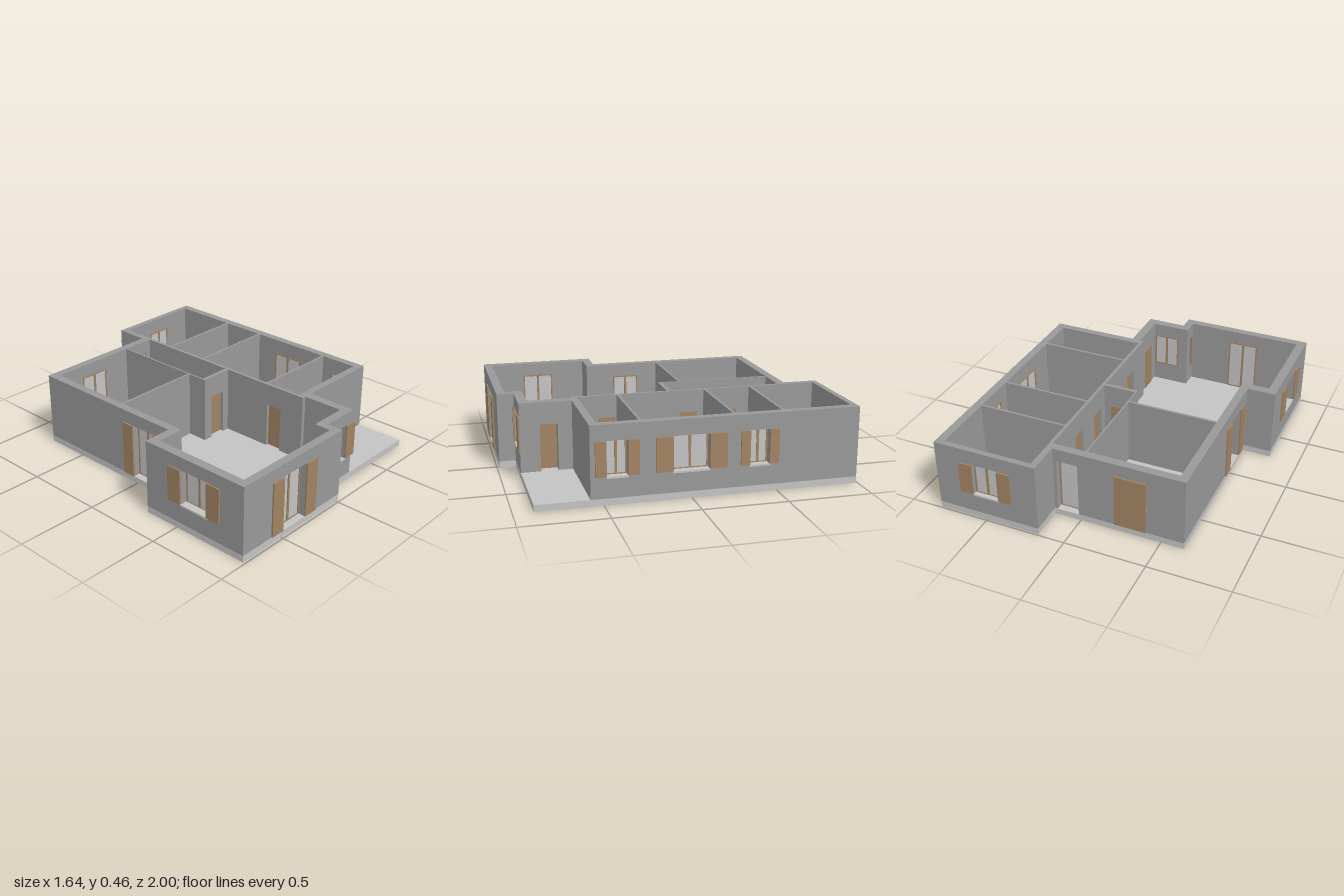
import * as THREE from 'three';

const H = 0.46, FLOOR = 0.04;
const wallGrey = new THREE.MeshStandardMaterial({ name: 'wall grey', color: 0x999999 });
const paleGrey = new THREE.MeshStandardMaterial({ name: 'pale grey', color: 0xc4c4c4 });
const wood = new THREE.MeshStandardMaterial({ name: 'wood brown', color: 0xa28463 });

// Box given by its minimum and maximum corners
function box(parent, name, mat, x0, x1, y0, y1, z0, z1) {
  const mesh = new THREE.Mesh(new THREE.BoxGeometry(x1 - x0, y1 - y0, z1 - z0), mat);
  mesh.position.set((x0 + x1) / 2, (y0 + y1) / 2, (z0 + z1) / 2);
  mesh.name = name;
  parent.add(mesh);
}

// Straight wall; openings are [from, to, bottom, top] along its longer side
function wall(parent, name, x0, x1, z0, z1, openings = []) {
  const g = new THREE.Group();
  g.name = name;
  const alongX = x1 - x0 > z1 - z0;
  const piece = (a, b, y0, y1) => {
    if (b - a < 1e-4 || y1 - y0 < 1e-4) return;
    if (alongX) box(g, 'wallPiece', wallGrey, a, b, y0, y1, z0, z1);
    else box(g, 'wallPiece', wallGrey, x0, x1, y0, y1, a, b);
  };
  let at = alongX ? x0 : z0;
  for (const [a, b, y0, y1] of openings) {
    piece(at, a, FLOOR, H);
    piece(a, b, FLOOR, y0);
    piece(a, b, y1, H);
    at = b;
  }
  piece(at, alongX ? x1 : z1, FLOOR, H);
  parent.add(g);
}

// Window in local space: outer wall face at z = 0, outside towards +z
function windowUnit(parent, name, x, z, turn, w, y0, y1, { depth = 0.05, shutter = 0, closed = false, panes = 2 } = {}) {
  const g = new THREE.Group();
  g.name = name;
  g.position.set(x, 0, z);
  g.rotation.y = turn;
  const h = w / 2, f = 0.008, back = -depth - 0.004, front = -depth + 0.012;
  box(g, 'pane', paleGrey, -h, h, y0, y1, -depth + 0.001, -depth + 0.006);
  for (const s of [-1, 1]) {
    const c = s * (h - f / 2);
    box(g, 'frameStile', wood, c - f / 2, c + f / 2, y0, y1, back, front);
  }
  box(g, 'frameTop', wood, -h + f, h - f, y1 - f, y1, back, front);
  box(g, 'frameBottom', wood, -h + f, h - f, y0, y0 + f, back, front);
  if (panes === 2) box(g, 'mullion', wood, -0.007, 0.007, y0 + f, y1 - f, back, front);
  box(g, 'sill', paleGrey, -h - 0.003, h + 0.003, y0 - 0.008, y0 + 0.003, front, 0.006);
  if (closed) box(g, 'closedShutter', wood, -h, h, y0 + 0.004, y1, 0.0005, 0.009);
  if (shutter) {
    box(g, 'shutter', wood, -h - shutter, -h, y0 + 0.004, y1, 0.0005, 0.01);
    box(g, 'shutter', wood, h, h + shutter, y0 + 0.004, y1, 0.0005, 0.01);
  }
  parent.add(g);
}

export function createModel() {
  const model = new THREE.Group();
  model.name = 'house';

  // Floor slab with the porch corner
  const outline = [[-0.64, -0.78], [0.165, -0.78], [0.165, -0.99], [0.81, -0.99], [0.81, 0.885], [0.02, 0.885],
    [0.02, 0.985], [-0.815, 0.985], [-0.815, 0.27], [-0.64, 0.27]];
  const shape = new THREE.Shape(outline.map(([x, z]) => new THREE.Vector2(x, -z)));
  const slabGeo = new THREE.ExtrudeGeometry(shape, { depth: FLOOR, bevelEnabled: false });
  slabGeo.rotateX(-Math.PI / 2);
  const slab = new THREE.Mesh(slabGeo, paleGrey);
  slab.name = 'floorSlab';
  model.add(slab);

  // Outer walls
  const T = 0.38, S = 0.367, D = 0.325, L = 0.162;
  wall(model, 'frontWall', -0.815, 0.02, 0.935, 0.985, [[-0.495, -0.3, FLOOR, T]]);
  wall(model, 'frontReturnWall', -0.03, 0.02, 0.885, 0.935);
  wall(model, 'frontRecessWall', -0.03, 0.21, 0.83, 0.885, [[0.035, 0.2, L, T]]);
  wall(model, 'entranceWall', 0.21, 0.265, 0.575, 0.885, [[0.66, 0.765, FLOOR, D]]);
  wall(model, 'porchWall', 0.185, 0.81, 0.53, 0.575);
  wall(model, 'sideWall', 0.76, 0.81, -0.955, 0.53,
    [[-0.45, -0.335, L, S], [-0.1, 0.11, L, S], [0.365, 0.485, L, S]]);
  wall(model, 'backWall', 0.165, 0.81, -0.99, -0.955, [[0.41, 0.572, L, S]]);
  wall(model, 'backStepWall', 0.165, 0.205, -0.955, -0.73);
  wall(model, 'backRecessWall', -0.64, 0.165, -0.78, -0.73,
    [[-0.41, -0.215, FLOOR, T], [0.012, 0.145, FLOOR, T]]);
  wall(model, 'otherSideWall', -0.64, -0.59, -0.73, 0.27, [[-0.02, 0.145, FLOOR, T]]);
  wall(model, 'sideStepWall', -0.76, -0.59, 0.27, 0.325);
  wall(model, 'livingSideWall', -0.815, -0.76, 0.27, 0.935, [[0.535, 0.728, L, T]]);

  // Partitions, with doorways along the corridor
  const doorways = [[-0.69, -0.585], [-0.455, -0.35], [-0.2, -0.095], [0.305, 0.41]];
  wall(model, 'corridorPartition', 0.185, 0.205, -0.73, 0.53, doorways.map(([a, b]) => [a, b, FLOOR, D]));
  wall(model, 'hallEndPartition', -0.03, 0.185, -0.045, -0.02, [[0.03, 0.14, FLOOR, D]]);
  wall(model, 'hallSidePartition', -0.03, -0.02, -0.73, -0.045);
  wall(model, 'bedroomPartition', -0.59, -0.03, -0.165, -0.15);
  for (const z of [-0.55, -0.26, 0.28]) wall(model, 'roomPartition', 0.205, 0.76, z, z + 0.015);

  // Doors
  for (const [a, b] of doorways) box(model, 'interiorDoor', wood, 0.203, 0.211, FLOOR, D, a, b);
  box(model, 'hallDoor', wood, 0.03, 0.14, FLOOR, D, -0.051, -0.043);
  box(model, 'entranceDoor', wood, 0.206, 0.214, FLOOR, D, 0.66, 0.765);

  // Windows and shutters
  const Q = Math.PI / 2;
  windowUnit(model, 'frontWindowDoor', -0.3975, 0.985, 0, 0.195, FLOOR, T, { shutter: 0.09 });
  windowUnit(model, 'frontRecessWindow', 0.1175, 0.885, 0, 0.165, L, T, { depth: 0.055, shutter: 0.08 });
  windowUnit(model, 'sideWindow', 0.81, 0.425, Q, 0.12, L, S, { shutter: 0.063 });
  windowUnit(model, 'sideWindow', 0.81, 0.005, Q, 0.21, L, S, { shutter: 0.1 });
  windowUnit(model, 'sideWindow', 0.81, -0.3925, Q, 0.115, L, S, { shutter: 0.055 });
  windowUnit(model, 'backWindow', 0.491, -0.99, Math.PI, 0.162, L, S, { depth: 0.035, shutter: 0.083 });
  windowUnit(model, 'backWindowDoor', -0.3125, -0.78, Math.PI, 0.195, FLOOR, T, { closed: true });
  windowUnit(model, 'backDoor', 0.0785, -0.78, Math.PI, 0.133, FLOOR, T, { panes: 1 });
  windowUnit(model, 'otherSideWindowDoor', -0.64, 0.0625, -Q, 0.165, FLOOR, T, { shutter: 0.08 });
  windowUnit(model, 'livingSideWindow', -0.815, 0.6315, -Q, 0.193, L, T, { depth: 0.055, shutter: 0.093 });

  return model;
}
